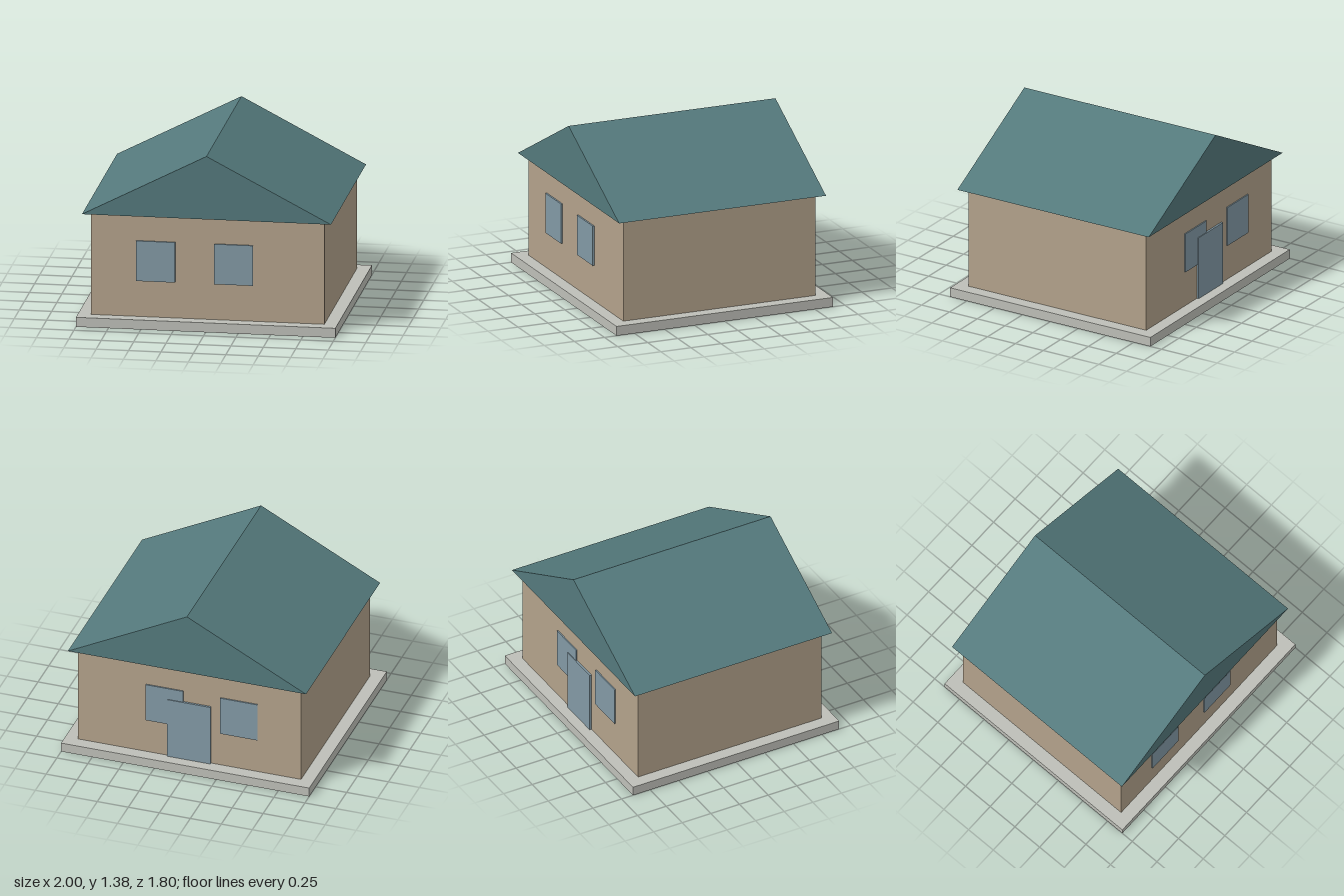
import * as THREE from 'three';

const material = (color) => new THREE.MeshStandardMaterial({ color });

// Box spanning x0..x1, y0..y1, z0..z1
function block(name, mat, [x0, x1], [y0, y1], [z0, z1]) {
  const mesh = new THREE.Mesh(new THREE.BoxGeometry(x1 - x0, y1 - y0, z1 - z0), mat);
  mesh.position.set((x0 + x1) / 2, (y0 + y1) / 2, (z0 + z1) / 2);
  mesh.name = name;
  return mesh;
}

export function createModel() {
  const house = new THREE.Group();
  house.name = 'house';
  const glass = material(0x8299a5);

  // Foundation slab and walls
  house.add(block('foundation', material(0xbebfb8), [-1, 1], [0, 0.075], [-0.9, 0.9]));
  house.add(block('walls', material(0xb3a28b), [-0.9, 0.9], [0.075, 0.873], [-0.8, 0.8]));

  // Solid gable roof with overhang, hovering just above the walls
  const gable = new THREE.Shape([
    new THREE.Vector2(-0.96, 0.882),
    new THREE.Vector2(0.96, 0.882),
    new THREE.Vector2(0, 1.38),
  ]);
  const roofGeometry = new THREE.ExtrudeGeometry(gable, { depth: 1.72, bevelEnabled: false });
  roofGeometry.translate(0, 0, -0.86);
  const roof = new THREE.Mesh(roofGeometry, material(0x54797c));
  roof.name = 'roof';
  house.add(roof);

  // Two windows on the front and two on the back
  for (const x of [-0.55, 0.05]) {
    house.add(block('frontWindow', glass, [x, x + 0.3], [0.358, 0.675], [0.79, 0.813]));
    house.add(block('backWindow', glass, [x, x + 0.3], [0.358, 0.675], [-0.81, -0.79]));
  }

  // Back door, standing slightly proud of the windows
  house.add(block('backDoor', glass, [-0.175, 0.175], [0.075, 0.58], [-0.816, -0.79]));

  return house;
}
